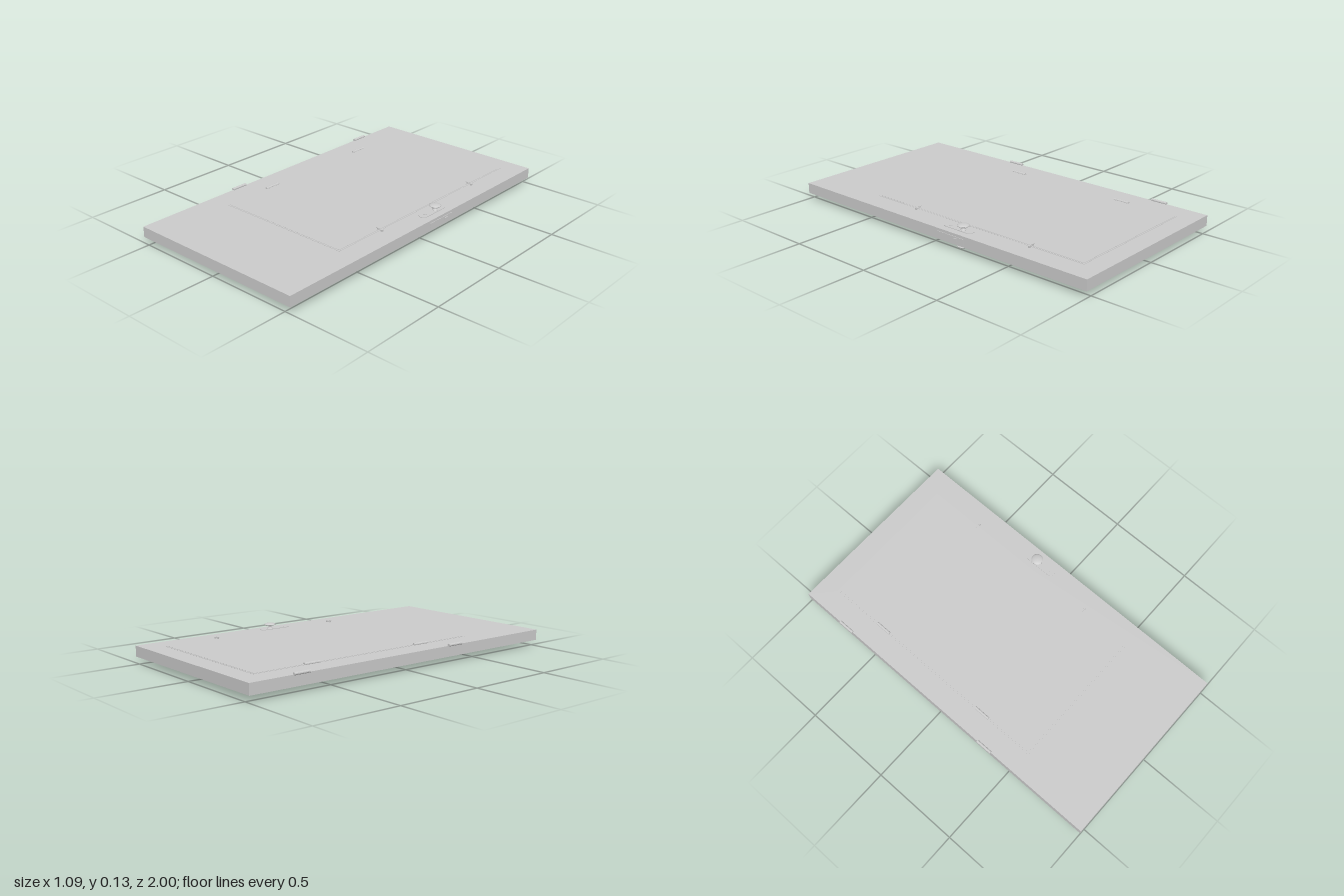
import * as THREE from 'three';

const grey = new THREE.MeshStandardMaterial({ color: 0xcccccc, flatShading: true });
const smooth = new THREE.MeshStandardMaterial({ color: 0xcccccc });
const BOTTOM = 0.035, TOP = 0.095;

function add(parent, name, geometry, x = 0, y = 0, z = 0, material = grey) {
  const mesh = new THREE.Mesh(geometry, material);
  mesh.name = name;
  mesh.position.set(x, y, z);
  parent.add(mesh);
  return mesh;
}

const box = (w, h, d) => new THREE.BoxGeometry(w, h, d);

// Box given by its lowest and highest corners
function span(parent, name, x0, x1, y0, y1, z0, z1) {
  return add(parent, name, box(x1 - x0, y1 - y0, z1 - z0), (x0 + x1) / 2, (y0 + y1) / 2, (z0 + z1) / 2);
}

function rectangle(Type, w, d, z = 0) {
  const p = new Type();
  p.moveTo(-w, z - d);
  p.lineTo(w, z - d);
  p.lineTo(w, z + d);
  p.lineTo(-w, z + d);
  p.closePath();
  return p;
}

// Inward-facing rectangular recess, sections are [half width, half depth, y]
function recessGeometry(sections) {
  const corners = [[-1, -1], [1, -1], [1, 1], [-1, 1]];
  const positions = [], index = [];
  for (const [w, d, y] of sections) for (const [sx, sz] of corners) positions.push(sx * w, y, sz * d);
  for (let s = 0; s < sections.length - 1; s++) {
    for (let i = 0; i < 4; i++) {
      const a = s * 4 + i, b = s * 4 + (i + 1) % 4;
      index.push(a, b, b + 4, a, b + 4, a + 4);
    }
  }
  const g = new THREE.BufferGeometry();
  g.setAttribute('position', new THREE.Float32BufferAttribute(positions, 3));
  g.setIndex(index);
  const flat = g.toNonIndexed();
  flat.computeVertexNormals();
  return flat;
}

// Flat plate with round ends, long along z
function platePiece(halfWidth, halfLength, thickness) {
  const s = new THREE.Shape();
  const k = halfLength - halfWidth;
  s.absarc(0, k, halfWidth, 0, Math.PI, false);
  s.absarc(0, -k, halfWidth, Math.PI, Math.PI * 2, false);
  s.closePath();
  const g = new THREE.ExtrudeGeometry(s, { depth: thickness, bevelEnabled: false, curveSegments: 8 });
  return g.rotateX(-Math.PI / 2);
}

export function createModel() {
  const door = new THREE.Group();
  door.name = 'door';

  // Slab with three window openings
  const halfW = 0.382, halfD = 0.222;
  const windowZ = [-0.64, -0.175, 0.29];
  const outline = rectangle(THREE.Shape, 0.535, 1);
  for (const z of windowZ) outline.holes.push(rectangle(THREE.Path, halfW, halfD, z));
  const slab = new THREE.ExtrudeGeometry(outline, { depth: TOP - BOTTOM, bevelEnabled: false });
  slab.rotateX(Math.PI / 2);
  add(door, 'slab', slab, 0, TOP, 0);

  // Windows: bevelled surround, pane and glazing bars
  const recess = recessGeometry([
    [halfW, halfD, BOTTOM], [halfW - 0.012, halfD - 0.012, BOTTOM + 0.006],
    [halfW - 0.065, halfD - 0.06, 0.06], [halfW - 0.065, halfD - 0.06, 0.082],
  ]);
  const surround = grey.clone();
  surround.side = THREE.DoubleSide;
  for (const z of windowZ) {
    const win = new THREE.Group();
    win.name = 'window';
    win.position.z = z;
    door.add(win);
    add(win, 'windowSurround', recess, 0, 0, 0, surround);
    add(win, 'pane', box(0.66, 0.004, 0.34), 0, 0.082, 0);
    for (const x of [-0.13, 0.13]) add(win, 'longBar', box(0.014, 0.014, 0.35), x, 0.067, 0);
    add(win, 'crossBar', box(0.67, 0.014, 0.014), 0, 0.067, 0);
  }

  // Hatch cover lying over the windows
  span(door, 'hatchRim', -0.41, 0.41, 0.09, 0.0965, -0.89, 0.53);
  span(door, 'hatchCover', -0.402, 0.402, 0.09, 0.098, -0.882, 0.522);

  // Hinges of the door and the hatch
  const barrel = new THREE.CylinderGeometry(0.008, 0.008, 0.096, 12).rotateX(Math.PI / 2);
  for (const [x, z] of [[-0.535, -0.7], [-0.535, 0.327], [-0.404, -0.54], [-0.404, 0.195]]) {
    add(door, 'hinge', barrel, x, 0.0985, z);
  }

  // Turn latches of the hatch
  for (const z of [-0.57, 0.22]) {
    const latch = new THREE.Group();
    latch.name = 'hatchLatch';
    latch.position.set(0.398, 0, z);
    door.add(latch);
    add(latch, 'latchPin', new THREE.CylinderGeometry(0.004, 0.004, 0.012, 10), 0, 0.101, 0);
    add(latch, 'latchHead', box(0.02, 0.003, 0.008), 0, 0.1075, 0);
    add(latch, 'latchCatch', box(0.009, 0.01, 0.01), 0.027, 0.1, 0);
    add(latch, 'latchArm', box(0.03, 0.003, 0.004), 0.013, 0.101, 0);
  }

  // Knob and plate on both faces
  const knobProfile = [
    [0, 0], [0.017, 0], [0.017, 0.003], [0.009, 0.006], [0.009, 0.02], [0.02, 0.021],
    [0.033, 0.023], [0.033, 0.026], [0.025, 0.03], [0.012, 0.0325], [0, 0.033],
  ].map(([r, y]) => new THREE.Vector2(r, y));
  for (const side of [1, -1]) {
    const handle = new THREE.Group();
    handle.name = side > 0 ? 'upperHandle' : 'lowerHandle';
    handle.position.set(0.47, side > 0 ? TOP : BOTTOM, 0);
    if (side < 0) handle.rotation.z = Math.PI;
    door.add(handle);
    add(handle, 'handlePlate', platePiece(0.025, 0.097, 0.003), 0, 0, -0.14);
    add(handle, 'knob', new THREE.LatheGeometry(knobProfile, 24), 0, 0.002, -0.17, smooth);
    add(handle, 'keyCylinder', new THREE.CylinderGeometry(0.009, 0.009, 0.004, 16), 0, 0.003, -0.085);
  }

  // Latch plate and bolt in the edge
  span(door, 'edgePlate', 0.53, 0.538, 0.05, 0.08, -0.235, 0.045 - 0.09);
  span(door, 'latchBolt', 0.53, 0.543, 0.058, 0.072, -0.19, -0.165);

  return door;
}
